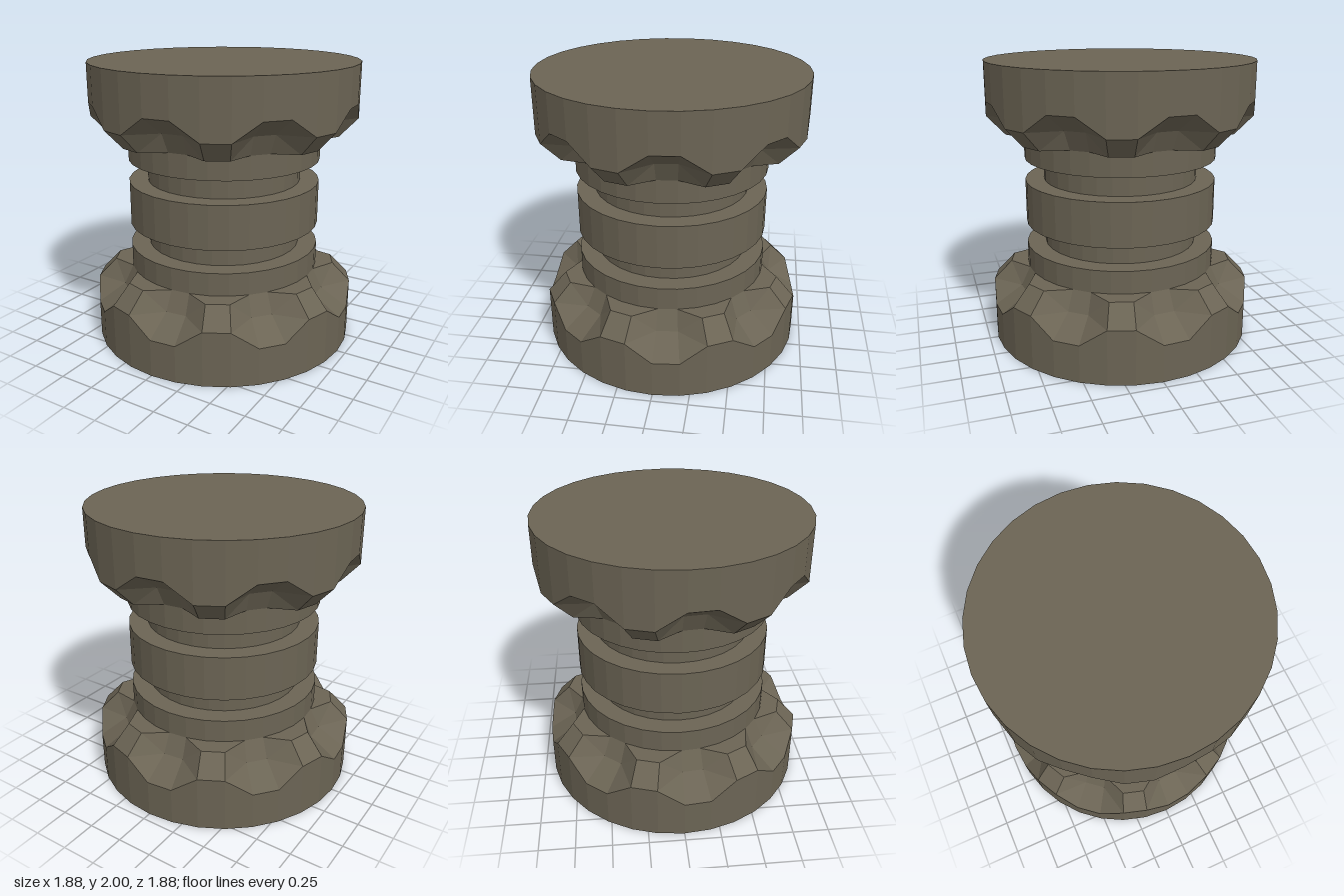
import * as THREE from 'three';

const SIDES = 32;
const material = new THREE.MeshStandardMaterial({ color: 0x6b6454, flatShading: true });

// Profiles as [radius, height], from the centre of the outer disc to the column
const RIDGE = [[0, 0], [0.94, 0], [0.94, 0.39], [0.81, 0.525], [0.685, 0.525]];
const SCALLOP = [[0, 0], [0.94, 0], [0.94, 0.265], [0.75, 0.39], [0.685, 0.525]];

// Heavy disc whose inner rim has eight scallops, each repeating over four sides
function scallopedEnd(name, flip) {
  const point = (i, j) => {
    const [r, y] = (i % 4 < 2 ? SCALLOP : RIDGE)[j];
    const a = (i % SIDES) * 2 * Math.PI / SIDES;
    return [r * Math.sin(a), flip ? 2 - y : y, r * Math.cos(a)];
  };
  const positions = [];
  const triangle = (p, q, s) => positions.push(...p, ...(flip ? s : q), ...(flip ? q : s));
  for (let i = 0; i < SIDES; i++) {
    for (let j = 0; j < RIDGE.length - 1; j++) {
      const a = point(i, j), b = point(i + 1, j);
      const c = point(i + 1, j + 1), d = point(i, j + 1);
      if (j === 0) {
        triangle(a, c, d); // flat disc
      } else if (i % 4 === 3) {
        triangle(a, b, c);
        triangle(a, c, d);
      } else {
        triangle(a, b, d);
        triangle(b, c, d);
      }
    }
  }
  const geometry = new THREE.BufferGeometry();
  geometry.setAttribute('position', new THREE.Float32BufferAttribute(positions, 3));
  geometry.computeVertexNormals();
  const mesh = new THREE.Mesh(geometry, material);
  mesh.name = name;
  return mesh;
}

export function createModel() {
  const group = new THREE.Group();
  group.name = 'scallopedSpool';
  group.add(scallopedEnd('bottomEnd', false), scallopedEnd('topEnd', true));

  // Column with two square grooves
  const profile = [
    [0.685, 0.525], [0.685, 0.685], [0.55, 0.685], [0.55, 0.845], [0.685, 0.845],
    [0.685, 1.155], [0.55, 1.155], [0.55, 1.315], [0.685, 1.315], [0.685, 1.475],
  ].map(([r, y]) => new THREE.Vector2(r, y));
  const column = new THREE.Mesh(new THREE.LatheGeometry(profile, SIDES), material);
  column.name = 'groovedColumn';
  group.add(column);
  return group;
}
